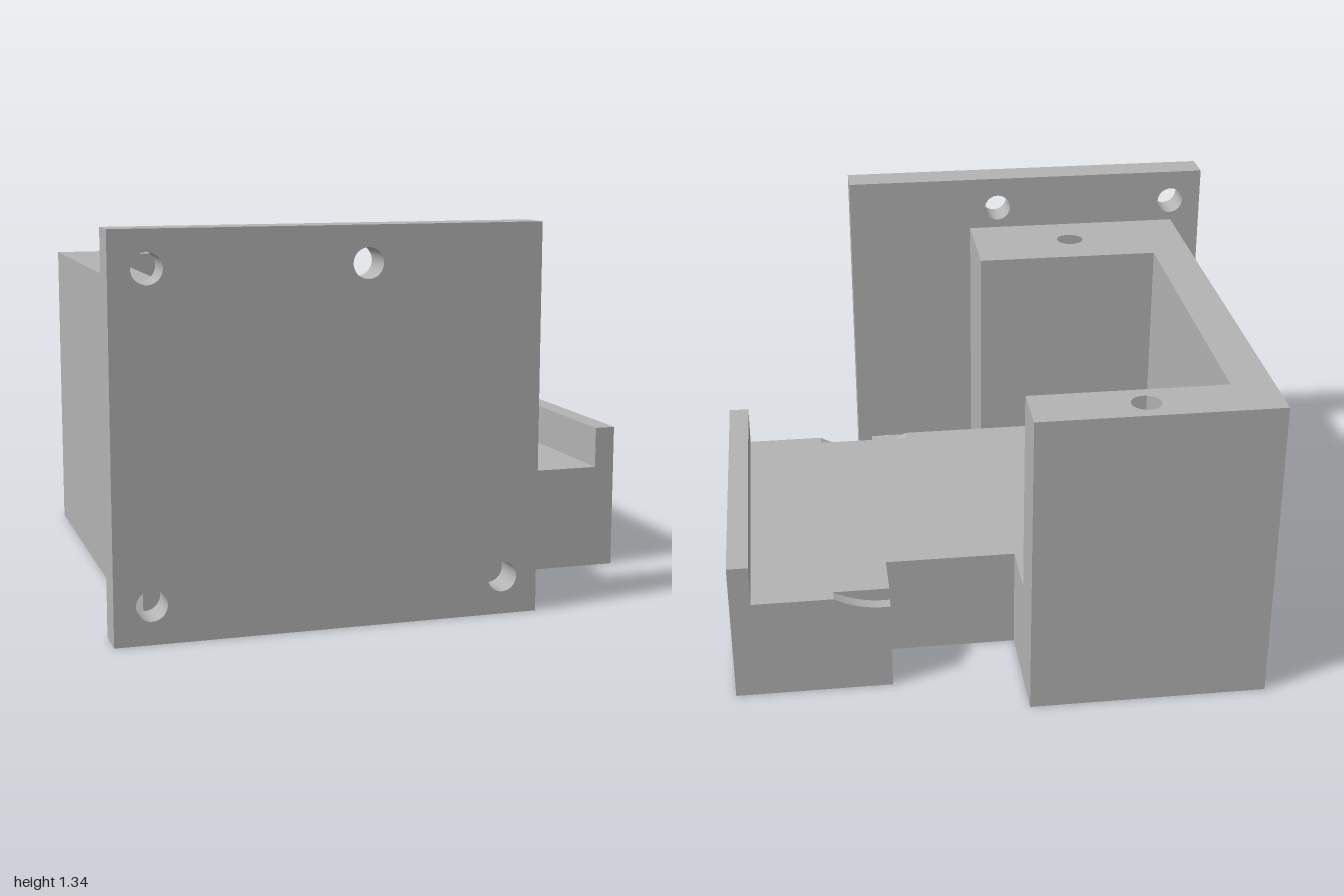
import * as THREE from 'three';

const FLOOR_Y = 0.38, WALL_Y = 1.13, HOLE_R = 0.052;

export function createModel() {
  const model = new THREE.Group();
  model.name = 'mountingBracket';
  const grey = new THREE.MeshStandardMaterial({ color: 0xb3b3b3 });
  grey.name = 'plain grey';

  const add = (name, geometry) => {
    const mesh = new THREE.Mesh(geometry, grey);
    mesh.name = name;
    model.add(mesh);
  };

  const polygon = (points, holes = []) => {
    const shape = new THREE.Shape(points.map(([x, y]) => new THREE.Vector2(x, y)));
    for (const [x, y] of holes) {
      shape.holes.push(new THREE.Path().absarc(x, y, HOLE_R, 0, Math.PI * 2, true));
    }
    return shape;
  };

  const extrude = (shape, depth) =>
    new THREE.ExtrudeGeometry(shape, { depth, bevelEnabled: false, curveSegments: 32 });

  // Outline drawn in x and z, raised from y0 to y1
  const plan = (name, points, y0, y1, holes = []) => {
    const flip = ([x, z]) => [x, -z];
    const g = extrude(polygon(points.map(flip), holes.map(flip)), y1 - y0);
    add(name, g.rotateX(-Math.PI / 2).translate(0, y0, 0));
  };

  // Outline drawn in x and y, running from z0 to z1
  const slab = (name, shape, z0, z1) => add(name, extrude(shape, z1 - z0).translate(0, 0, z0));

  const box = (name, x0, x1, y0, y1, z0, z1) =>
    add(name, new THREE.BoxGeometry(x1 - x0, y1 - y0, z1 - z0)
      .translate((x0 + x1) / 2, (y0 + y1) / 2, (z0 + z1) / 2));

  // Front plate with four screw holes
  slab('frontPlate', polygon([[-1, 0], [0.465, 0], [0.465, 1.34], [-1, 1.34]],
    [[-0.875, 1.215], [-0.145, 1.215], [-0.875, 0.13], [0.34, 0.13]]), 0.83, 0.955);

  // C-shaped wall; the upper course holds the two blind screw holes
  const wall = [[-0.88, -0.955], [-0.03, -0.955], [-0.03, -0.76], [-0.73, -0.76],
    [-0.73, 0.46], [-0.03, 0.46], [-0.03, 0.83], [-0.88, 0.83]];
  plan('wallLower', wall, 0, 0.7);
  plan('wallUpper', wall, 0.7, WALL_Y, [[-0.42, -0.86], [-0.42, 0.65]]);

  // Floor with a notch in its back edge
  plan('floor', [[-0.73, -0.76], [-0.03, -0.76], [-0.03, -0.54], [0.44, -0.54],
    [0.44, -0.715], [1, -0.715], [1, 0.415], [-0.73, 0.415]], 0, FLOOR_Y);

  // Floor edges with a shallow arc-shaped scoop in the top
  const scoopX = 0.463, scoopHalf = 0.175, scoopDepth = 0.047;
  const radius = (scoopHalf ** 2 + scoopDepth ** 2) / (2 * scoopDepth);
  const centreY = FLOOR_Y - scoopDepth + radius;
  const edgeProfile = (x0) => {
    const points = [[x0, 0], [1, 0], [1, FLOOR_Y]];
    const start = Math.max(x0, scoopX - scoopHalf), end = scoopX + scoopHalf;
    for (let i = 0; i <= 24; i++) {
      const x = end + (start - end) * i / 24;
      points.push([x, centreY - Math.sqrt(radius ** 2 - (x - scoopX) ** 2)]);
    }
    if (x0 < start) points.push([x0, FLOOR_Y]);
    return polygon(points);
  };
  slab('floorFrontEdge', edgeProfile(-0.73), 0.415, 0.46);
  slab('floorBackEdge', edgeProfile(0.44), -0.76, -0.715);

  // Side lip and the low step behind the plate
  box('sideLip', 0.925, 1, FLOOR_Y, 0.53, -0.76, 0.46);
  box('lowStep', -0.03, 0.41, 0, 0.18, 0.46, 0.83);

  return model;
}
